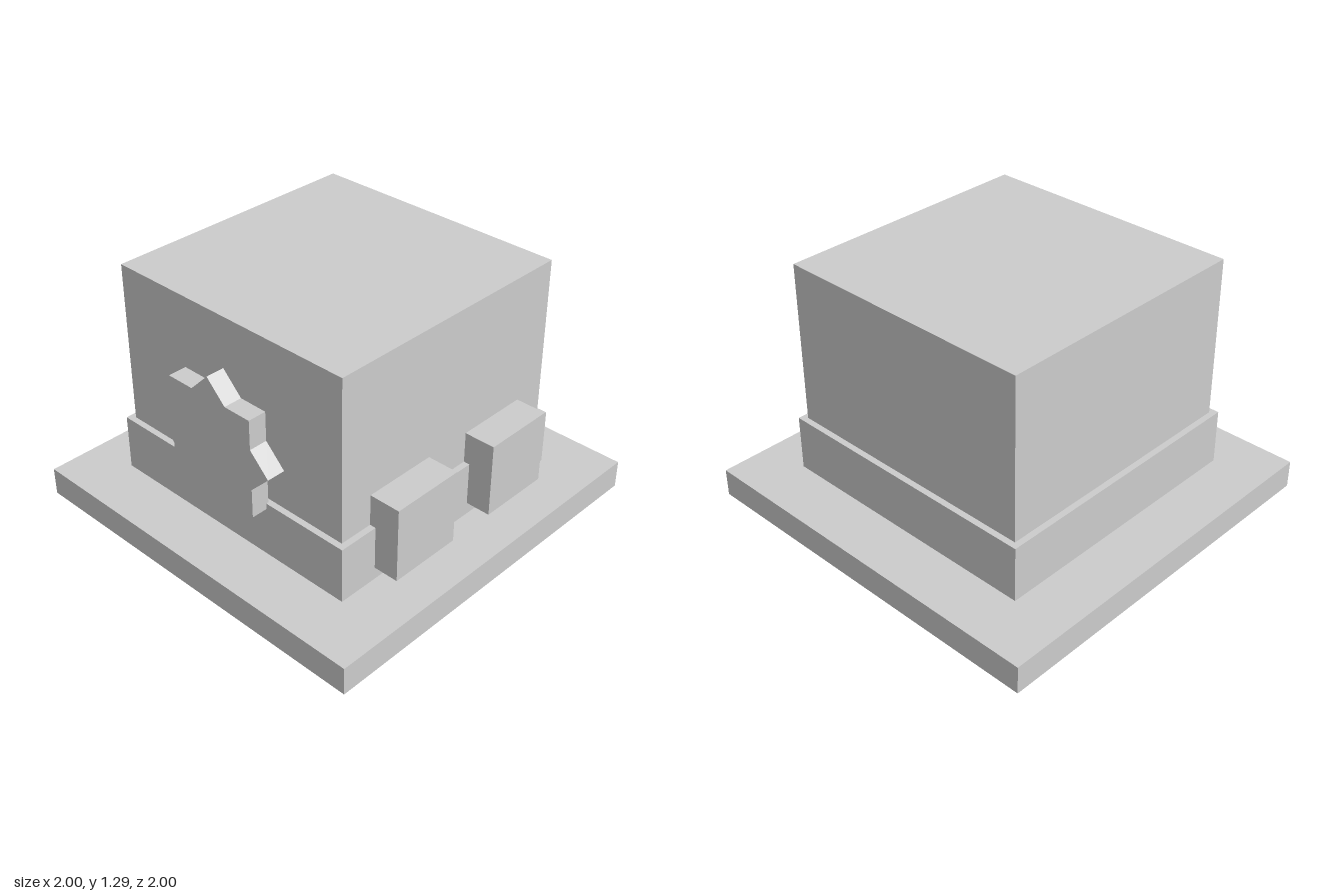
import * as THREE from 'three';

export function createModel() {
  const model = new THREE.Group();
  const grey = new THREE.MeshStandardMaterial({ color: 0xcccccc });
  grey.name = 'light grey';

  // Box given by its size, its bottom height and its centre in x and z
  function addBox(name, w, h, d, bottom, x = 0, z = 0) {
    const mesh = new THREE.Mesh(new THREE.BoxGeometry(w, h, d), grey);
    mesh.name = name;
    mesh.position.set(x, bottom + h / 2, z);
    model.add(mesh);
  }

  // Base plate, main block and the band around its foot
  addBox('basePlate', 2, 0.147, 2, 0);
  addBox('body', 1.386, 1.148, 1.386, 0.147);
  addBox('lowerBand', 1.45, 0.29, 1.45, 0.165);

  // Two front blocks
  for (const side of [-1, 1]) {
    addBox(side > 0 ? 'leftFrontBlock' : 'rightFrontBlock', 0.386, 0.386, 0.17, 0.23, side * 0.322, 0.77);
  }

  // Eight-pointed gear on the right side
  const points = [];
  for (let i = 0; i < 16; i++) {
    const r = i % 2 ? 0.28 : 0.366;
    const a = (i * Math.PI) / 8;
    points.push(new THREE.Vector2(r * Math.cos(a), r * Math.sin(a)));
  }
  const gearGeometry = new THREE.ExtrudeGeometry(new THREE.Shape(points), { depth: 0.096, bevelEnabled: false });
  gearGeometry.rotateY(-Math.PI / 2);
  const gear = new THREE.Mesh(gearGeometry, grey);
  gear.name = 'sideGear';
  gear.position.set(-0.712, 0.683, 0);
  model.add(gear);

  return model;
}
